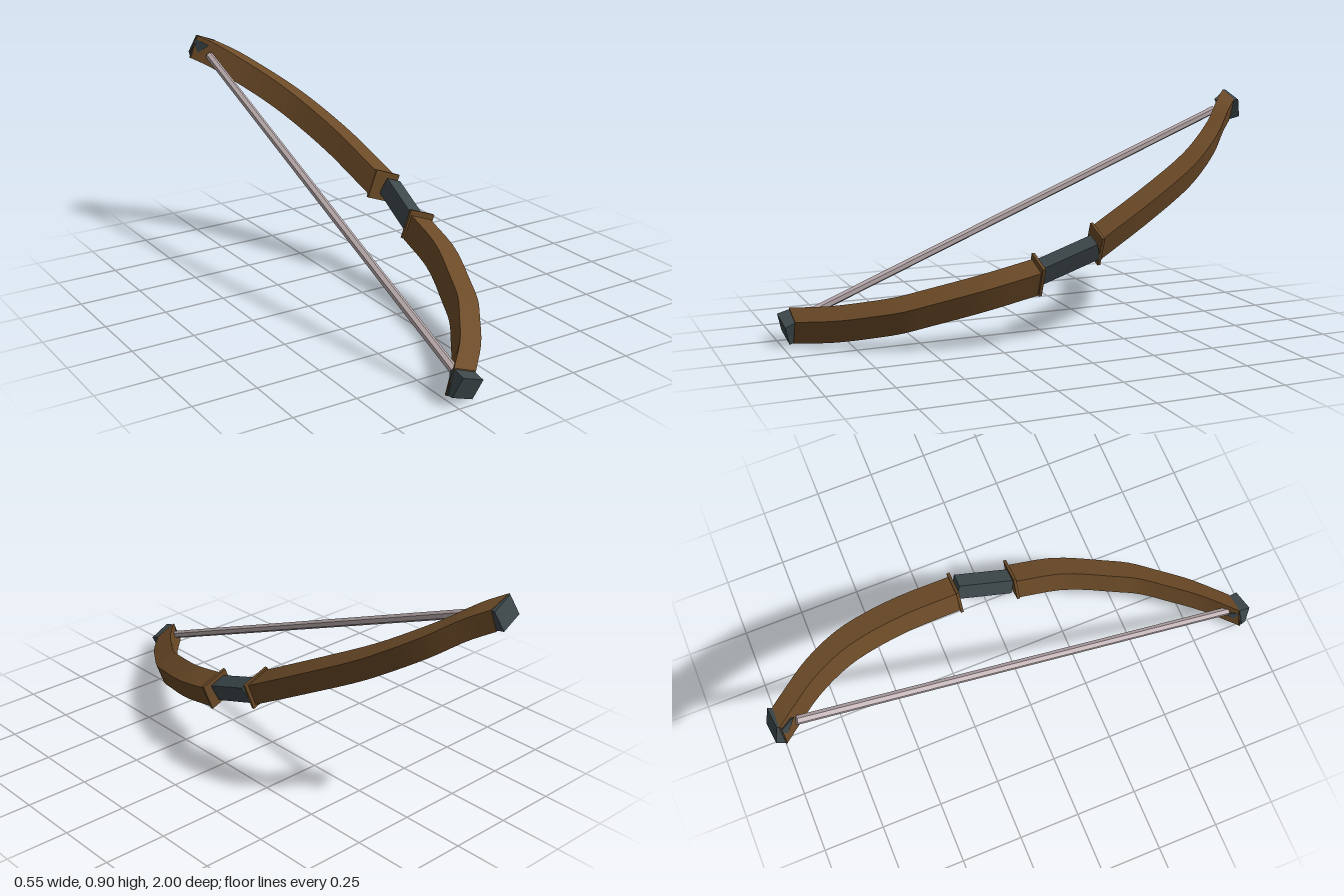
import * as THREE from 'three';
import { ConvexGeometry } from 'three/addons/geometries/ConvexGeometry.js';

const TILT = -0.37; // roll of every cross-section about z

// Rectangular cross-section in the rolled frame; sx, sy lean its plane along z.
function section([x, y, z], w, h = w, sx = 0, sy = 0) {
  const c = Math.cos(TILT), s = Math.sin(TILT);
  return [[-1, -1], [1, -1], [1, 1], [-1, 1]].map(([u, v]) => {
    const px = u * w / 2, py = v * h / 2;
    const dx = px * c - py * s, dy = px * s + py * c;
    return [x + dx, y + dy, z + dx * sx + dy * sy];
  });
}

// Skin over sections ordered by rising z: smooth lengthwise, sharp at the corners.
function loft(sections) {
  const pos = [], idx = [];
  for (let k = 0; k < 4; k++) {
    const base = pos.length / 3;
    sections.forEach(s => pos.push(...s[k], ...s[(k + 1) % 4]));
    for (let i = 0; i < sections.length - 1; i++) {
      const a = base + i * 2;
      idx.push(a, a + 1, a + 3, a, a + 3, a + 2);
    }
  }
  for (const end of [[...sections[0]].reverse(), sections[sections.length - 1]]) {
    const b = pos.length / 3;
    end.forEach(p => pos.push(...p));
    idx.push(b, b + 1, b + 2, b, b + 2, b + 3);
  }
  const g = new THREE.BufferGeometry();
  g.setAttribute('position', new THREE.Float32BufferAttribute(pos, 3));
  g.setIndex(idx);
  g.computeVertexNormals();
  return g;
}

function sweep(points, size) {
  const curve = new THREE.CatmullRomCurve3(points.map(p => new THREE.Vector3(...p)));
  return loft(curve.getPoints(20).map(p => section(p.toArray(), size)));
}

export function createModel() {
  const model = new THREE.Group();
  const material = (name, color) => {
    const m = new THREE.MeshStandardMaterial({ color });
    m.name = name;
    return m;
  };
  const wood = material('brown wood', 0x6b4a27);
  const metal = material('dark metal', 0x3d484b);
  const cord = material('pale cord', 0xb9aaac);
  const add = (name, geometry, mat) => {
    const mesh = new THREE.Mesh(geometry, mat);
    mesh.name = name;
    model.add(mesh);
    return mesh;
  };

  // Curved limbs
  add('frontLimb', sweep([
    [0.195, 0.268, 0.1], [0.17, 0.22, 0.3], [0.1, 0.165, 0.5], [0.06, 0.137, 0.6],
    [-0.005, 0.113, 0.7], [-0.09, 0.088, 0.82], [-0.21, 0.067, 0.95]], 0.1), wood);
  add('backLimb', sweep([
    [-0.208, 0.841, -0.955], [-0.145, 0.805, -0.89], [-0.055, 0.737, -0.8],
    [0.02, 0.672, -0.7], [0.075, 0.612, -0.6], [0.142, 0.508, -0.4],
    [0.195, 0.378, -0.15]], 0.1), wood);

  // Square guard plates on both sides of the grip
  for (const [name, x, y, z] of [['frontGuard', 0.2, 0.279, 0.097], ['backGuard', 0.197, 0.377, -0.149]]) {
    add(name, loft([section([x, y, z - 0.006], 0.119), section([x, y, z + 0.006], 0.119)]), wood);
  }

  // Grip with ends square to its own axis
  add('grip', loft([
    section([0.222, 0.371, -0.138], 0.068, 0.068, 0.12, 0.3),
    section([0.194, 0.285, 0.086], 0.068, 0.068, 0.12, 0.3)]), metal);

  // Leaning end caps
  add('frontCap', loft([
    section([-0.21, 0.067, 0.945], 0.094),
    section([-0.203, 0.058, 0.983], 0.1, 0.08, 0, 0.28)]), metal);
  add('backCap', loft([
    section([-0.2, 0.85, -0.98], 0.098, 0.08, 0, 0.32),
    section([-0.208, 0.841, -0.95], 0.094)]), metal);

  // Pointed nocks on the string side of the tips
  const nock = (name, pts) =>
    add(name, new ConvexGeometry(pts.map(p => new THREE.Vector3(...p))), metal);
  nock('frontNock', [[-0.245, 0.115, 0.95], [-0.27, 0.04, 0.96], [-0.2, 0.09, 0.965], [-0.215, 0.1, 0.895]]);
  nock('backNock', [[-0.242, 0.89, -0.95], [-0.264, 0.81, -0.96], [-0.2, 0.85, -0.965], [-0.205, 0.868, -0.895]]);

  // String
  const a = new THREE.Vector3(-0.208, 0.098, 0.91), b = new THREE.Vector3(-0.206, 0.824, -0.895);
  const dir = b.clone().sub(a);
  const string = add('string',
    new THREE.CylinderGeometry(0.017, 0.017, dir.length(), 6).toNonIndexed(), cord);
  string.geometry.computeVertexNormals();
  string.position.copy(a).add(b).multiplyScalar(0.5);
  string.quaternion.setFromUnitVectors(new THREE.Vector3(0, 1, 0), dir.normalize());

  return model;
}
